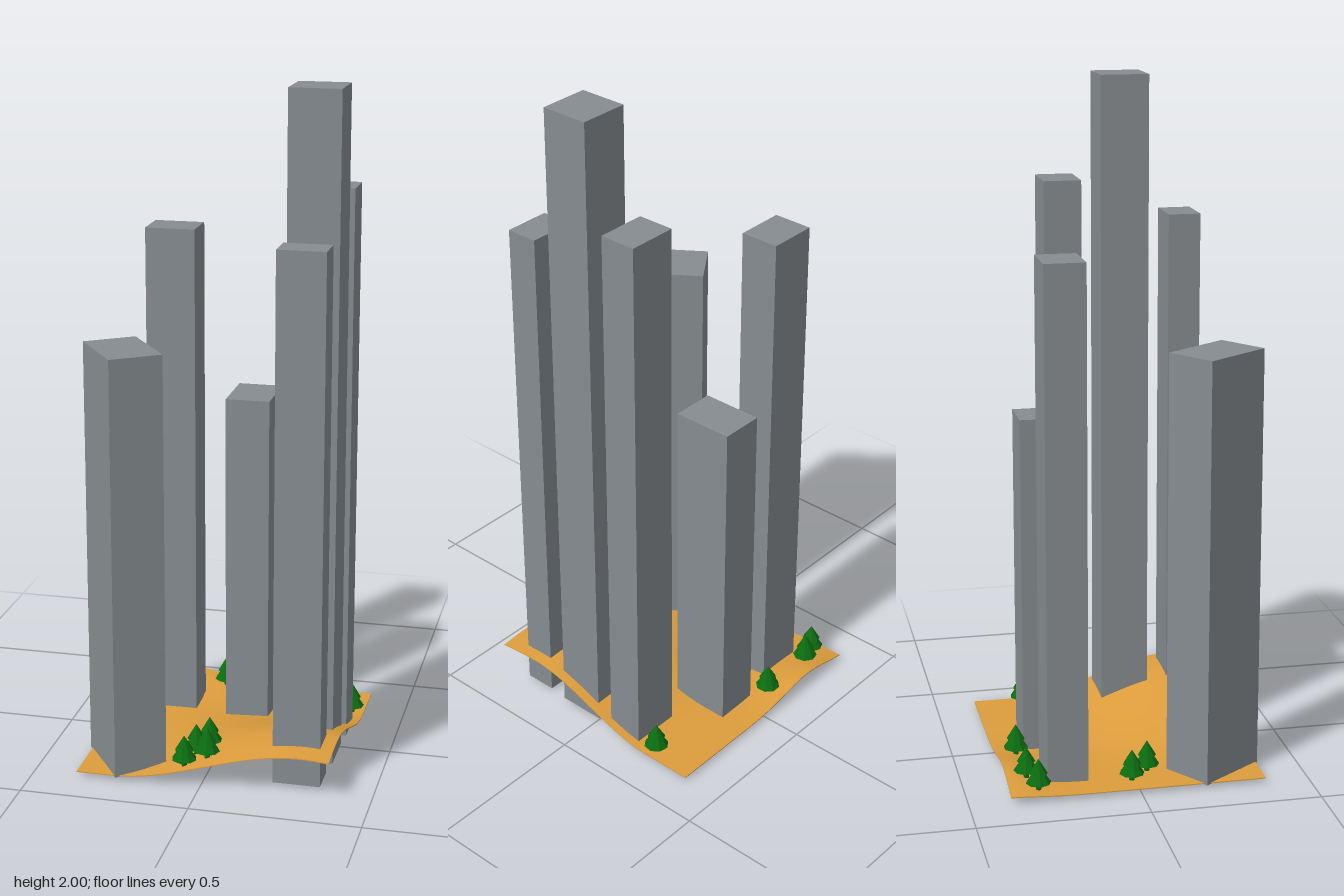
import * as THREE from 'three';
import { mergeGeometries } from 'three/addons/utils/BufferGeometryUtils.js';

const concrete = new THREE.MeshStandardMaterial({ color: 0x868c90 });
concrete.name = 'concrete grey';
const sand = new THREE.MeshStandardMaterial({ color: 0xdc9c3c });
sand.name = 'sand orange';
const rock = new THREE.MeshStandardMaterial({ color: 0x727274 });
rock.name = 'underside grey';
const leaf = new THREE.MeshStandardMaterial({ color: 0x0c6c10, flatShading: true });
leaf.name = 'pine green';

// Rolling ground: a broad hill at the front left, a low ridge at the back right
function groundHeight(x, z) {
  const hill = THREE.MathUtils.smoothstep(x, -0.26, 0.29) * THREE.MathUtils.smoothstep(z, -0.22, 0.23);
  const crest = 0.01 * THREE.MathUtils.smoothstep(z, 0.26, 0.42) + 0.008 * THREE.MathUtils.smoothstep(x, 0.3, 0.42);
  const ridge = Math.exp(-(((x + 0.2) / 0.14) ** 2) - ((z + 0.38) / 0.11) ** 2);
  return 0.014 + hill * (0.12 - crest) + 0.036 * ridge;
}

// Thin slab bent to the ground height, sandy on top and grey below
function makeTerrain() {
  const geo = new THREE.BoxGeometry(0.75, 0.003, 0.75, 32, 1, 32);
  geo.translate(0.005, -0.0015, -0.005);
  const p = geo.attributes.position;
  for (let i = 0; i < p.count; i++) {
    p.setY(i, p.getY(i) + groundHeight(p.getX(i), p.getZ(i)));
  }
  geo.computeVertexNormals();
  const mesh = new THREE.Mesh(geo, [sand, sand, sand, rock, sand, sand]);
  mesh.name = 'terrain';
  return mesh;
}

// Plain block standing on the common base level
function makeTower([x, z, width, depth, top, turn = 0]) {
  const base = 0.01;
  const mesh = new THREE.Mesh(new THREE.BoxGeometry(width, top - base, depth), concrete);
  mesh.position.set(x, (top + base) / 2, z);
  mesh.rotation.y = turn;
  mesh.name = 'tower';
  return mesh;
}

// Two-tier pine on a short trunk
function makeTreeGeometry() {
  return mergeGeometries([
    new THREE.CylinderGeometry(0.008, 0.008, 0.04, 8).translate(0, 0.02, 0),
    new THREE.ConeGeometry(0.037, 0.055, 8).translate(0, 0.0625, 0),
    new THREE.ConeGeometry(0.027, 0.045, 8).translate(0, 0.0855, 0),
  ]);
}

export function createModel() {
  const model = new THREE.Group();
  model.name = 'cityBlock';
  model.add(makeTerrain());

  // Towers: x, z, width, depth, top, turn
  const towers = new THREE.Group();
  towers.name = 'towers';
  for (const t of [
    [-0.21, -0.2, 0.15, 0.12, 1.54],
    [0.034, -0.197, 0.133, 0.185, 1.04],
    [0.279, -0.116, 0.152, 0.112, 1.695],
    [0.275, 0.07, 0.15, 0.145, 2.0],
    [0.273, 0.253, 0.14, 0.097, 1.585],
    [-0.25, 0.239, 0.159, 0.226, 1.27, 0.611],
  ]) towers.add(makeTower(t));
  model.add(towers);

  // Trees: x, z
  const trees = new THREE.Group();
  trees.name = 'trees';
  const treeGeo = makeTreeGeometry();
  [
    [-0.33, -0.295], [-0.267, -0.32], [-0.08, -0.32], [0.343, -0.233],
    [-0.303, -0.015], [-0.247, 0.042], [-0.002, 0.228], [-0.034, 0.262],
    [0.01, 0.307], [-0.053, 0.333],
  ].forEach(([x, z], i) => {
    const tree = new THREE.Mesh(treeGeo, leaf);
    tree.position.set(x, groundHeight(x, z) - 0.014, z);
    tree.rotation.y = i * 0.6;
    tree.name = 'tree';
    trees.add(tree);
  });
  model.add(trees);
  return model;
}
